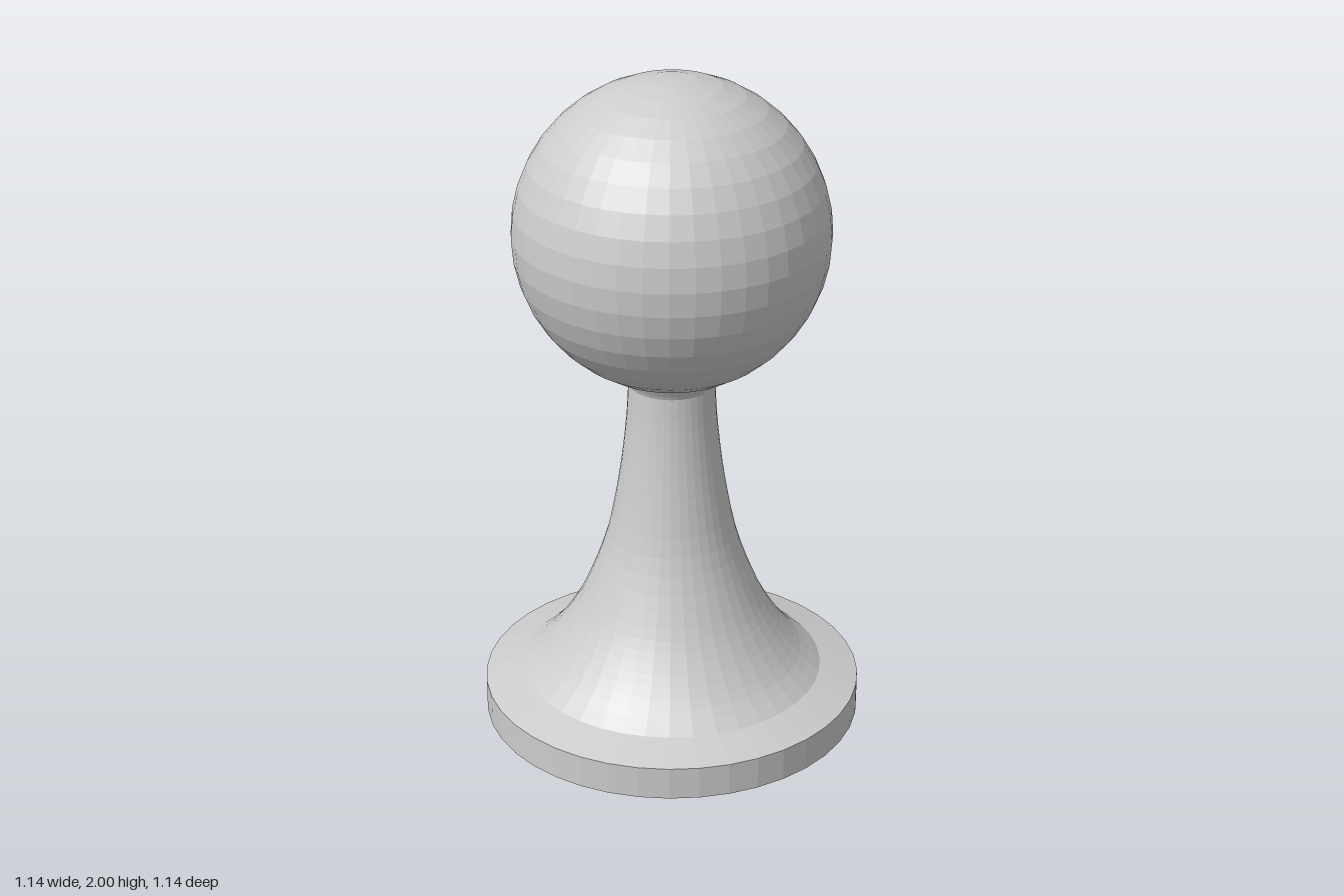
import * as THREE from 'three';

const SIDES = 40;

export function createModel() {
  const model = new THREE.Group();
  const grey = new THREE.MeshStandardMaterial({ color: 0xcccccc });
  grey.name = 'light grey';
  grey.flatShading = true;

  const add = (name, geometry, y = 0) => {
    const mesh = new THREE.Mesh(geometry, grey);
    mesh.name = name;
    mesh.position.y = y;
    model.add(mesh);
  };
  const points = (list) => list.map(([r, y]) => new THREE.Vector2(r, y));

  // Round foot with a shallow sloping top
  add('base', new THREE.LatheGeometry(points([
    [0, 0], [0.57, 0], [0.57, 0.1], [0.455, 0.135],
  ]), SIDES));

  // Concave stem, sweeping up from the foot to a narrow neck
  const sweep = new THREE.SplineCurve(points([
    [0.455, 0.135], [0.385, 0.2], [0.315, 0.295], [0.26, 0.4], [0.197, 0.57],
    [0.157, 0.77], [0.135, 0.95], [0.128, 1.07],
  ])).getPoints(24);
  // Small flared collar under the ball
  const collar = points([[0.132, 1.08], [0.143, 1.1], [0, 1.1]]);
  add('stem', new THREE.LatheGeometry([...sweep, ...collar], SIDES));

  // Ball head
  add('head', new THREE.SphereGeometry(0.46, SIDES, 20), 1.54);

  return model;
}
